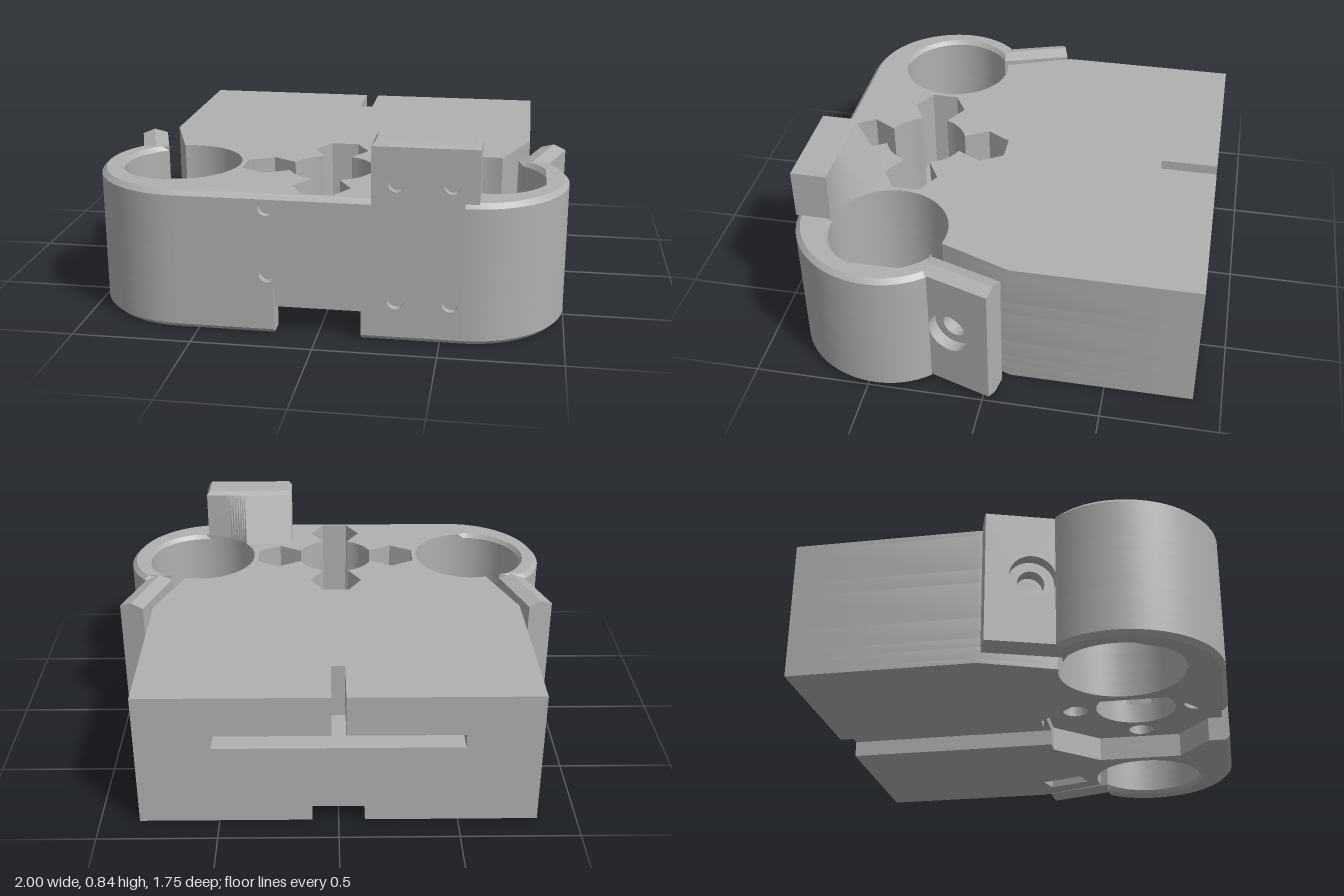
import * as THREE from 'three';
import { mergeGeometries, toCreasedNormals } from 'three/addons/utils/BufferGeometryUtils.js';

const BORE = { x: 0.655, z: 0.465, r: 0.255 };
const CZ = 0.465;      // z of the central hole
const FRONT = 0.875, INNER = 0.845, CH = 0.02;

const arc = (cx, cz, r, a0, a1, n) => Array.from({ length: n + 1 }, (_, i) => {
  const a = THREE.MathUtils.degToRad(a0 + (a1 - a0) * i / n);
  return [cx + r * Math.cos(a), cz + r * Math.sin(a)];
});
const flip = pts => pts.map(([x, z]) => [-x, z]);
const toPath = (pts, Type = THREE.Shape) => new Type(pts.map(p => new THREE.Vector2(...p)));

// Slab with a plan outline (x, z), between heights y0 and y1
function slab(pts, holes, y0, y1, moveVertex) {
  const shape = toPath(pts);
  shape.holes = holes.map(h => toPath(h, THREE.Path));
  const g = new THREE.ExtrudeGeometry(shape, { depth: y1 - y0, bevelEnabled: false, steps: 1 });
  g.rotateX(Math.PI / 2).translate(0, y1, 0);
  if (moveVertex) applyRule(g, moveVertex);
  return toCreasedNormals(g, 0.5);
}

function applyRule(g, rule) {
  const p = g.attributes.position, v = new THREE.Vector3();
  for (let i = 0; i < p.count; i++) {
    rule(v.fromBufferAttribute(p, i));
    p.setXYZ(i, v.x, v.y, v.z);
  }
}

// Outline of the +x half: block side, open bore, clamp ring, rounded front corner
function halfOutline(front) {
  const pts = [
    [0.835, -0.88], [0.835, -0.09], [0.72, 0.215],
    ...arc(BORE.x, BORE.z, BORE.r, -76, -419, 56),
    ...arc(BORE.x, CZ, 0.345, -41, 0, 8),
    ...arc(0.59, CZ, 0.41, 0, 90, 20).slice(1),
  ];
  if (front < FRONT) pts.push([0.59, front]);
  return pts;
}

// Both halves joined, with an optional slot in the back edge
function fullOutline(front, slot) {
  const half = [...(slot ? [[slot, -0.63], [slot, -0.88]] : []), ...halfOutline(front)];
  return [...half, ...flip(half).reverse()];
}

// One half of the underside, cut by the groove, recess and front notch
const underHalf = (front, groove) => [
  [groove, -0.88], ...halfOutline(front),
  [0.18, front], [0.18, 0.78], [0.36, 0.64], [0.36, 0.26], [0.18, 0.06], [groove, 0.06],
];

// Slanted nut slot next to each clamp arm
const nutSlot = [[-0.1, -0.045], [0.1, -0.045], [0.1, 0.045], [-0.1, 0.045]]
  .map(([u, n]) => [0.65 + 0.31 * u + 0.95 * n, 0.05 - 0.95 * u + 0.31 * n]);

// Central hole joined with four hexagonal pockets
function crossOutline() {
  const pts = [];
  for (let k = 0; k < 4; k++) {
    const a = k * Math.PI / 2, c = Math.cos(a), s = Math.sin(a);
    [[0.171, -0.06], [0.275, -0.12], [0.379, -0.06], [0.379, 0.06], [0.275, 0.12], [0.171, 0.06]]
      .forEach(([u, v]) => pts.push([u * c - v * s, CZ + u * s + v * c]));
    pts.push(...arc(0, CZ, 0.18, 22 + k * 90, 68 + k * 90, 8));
  }
  return pts;
}

// Pulls the rim of the clamps and front edge in, on one level only
const chamferAt = level => v => {
  if (Math.abs(v.y - level) > 1e-4 || v.z < 0.2) return;
  const s = Math.sign(v.x), ax = Math.abs(v.x);
  const pull = (cx, r, to) => {
    const d = Math.hypot(ax - cx, v.z - CZ);
    if (Math.abs(d - r) > 1e-3) return false;
    v.x = s * (cx + (ax - cx) * to / r);
    v.z = CZ + (v.z - CZ) * to / r;
    return true;
  };
  if (ax > 0.6 && v.z >= CZ - 1e-4 && pull(0.59, 0.41, 0.41 - CH)) return;
  if (v.z < CZ && ax > 0.85 && pull(BORE.x, 0.345, 0.345 - CH)) return;
  if (ax > BORE.x && v.z > 0.25 && pull(BORE.x, BORE.r, BORE.r + 0.015)) return;
  if (v.z > FRONT - 1e-3) v.z -= CH;
};

function bodyGeometry() {
  const nuts = [nutSlot, flip(nutSlot)];
  const cross = crossOutline();
  const screws = [0, 90, 180, 270].map(a => {
    const t = THREE.MathUtils.degToRad(a);
    return arc(0.275 * Math.cos(t), CZ + 0.275 * Math.sin(t), 0.057, 0, 345, 23);
  });
  const centre = arc(0, CZ, 0.18, 0, 352.5, 47);
  const parts = [];
  // Underside layers
  for (const [y0, y1, front, groove] of [[0, 0.02, FRONT, 0.11], [0.02, 0.07, INNER, 0.11], [0.07, 0.11, INNER, 0]]) {
    const pts = underHalf(front, groove);
    const rule = y0 === 0 ? chamferAt(0) : null;
    parts.push(slab(pts, [nuts[0]], y0, y1, rule), slab(flip(pts), [nuts[1]], y0, y1, rule));
  }
  // Floor with screw holes, then the pocket layers and the back slots
  parts.push(
    slab(fullOutline(INNER, 0), [centre, ...screws, ...nuts], 0.11, 0.2),
    slab(fullOutline(INNER, 0), [cross, ...nuts], 0.2, 0.36),
    slab(fullOutline(INNER, 0.52), [cross], 0.36, 0.42),
    slab(fullOutline(INNER, 0.03), [cross], 0.42, 0.58),
    slab(fullOutline(FRONT, 0.03), [cross], 0.58, 0.6, chamferAt(0.6)),
  );
  return mergeGeometries(parts);
}

// Front wall with notch, tower face and small screw holes
function frontGeometry() {
  const shape = toPath([
    [-0.59, 0.02], [-0.18, 0.02], [-0.18, 0.2], [0.18, 0.2], [0.18, 0.02], [0.59, 0.02],
    [0.59, 0.6], [0.645, 0.6], [0.645, 0.82], [0.22, 0.82], [0.22, 0.58], [-0.59, 0.58],
  ]);
  shape.holes = [[-0.205, 0.545], [-0.205, 0.26], [0.32, 0.67], [0.54, 0.67], [0.32, 0.175], [0.54, 0.175]]
    .map(([x, y]) => toPath(arc(x, y, 0.034, 0, 345, 23), THREE.Path));
  const g = new THREE.ExtrudeGeometry(shape, { depth: FRONT - INNER, bevelEnabled: false });
  return toCreasedNormals(g.translate(0, 0, INNER), 0.5);
}

// Tower with a leaning back that follows the bore at its foot
function towerGeometry() {
  const plan = [[0.22, INNER], [0.645, INNER], ...arc(BORE.x, BORE.z, BORE.r, 92, 145, 14), [0.22, 0.611]];
  const lean = v => { if (v.y > 0.8) v.z = Math.max(v.z, 0.72); };
  const cap = new THREE.BoxGeometry(0.425, CH, 0.155);
  applyRule(cap, v => {
    if (v.y > 0) { v.x -= Math.sign(v.x) * 0.015; v.z -= Math.sign(v.z) * 0.012; }
  });
  cap.translate(0.4325, 0.83, 0.7975);
  return mergeGeometries([slab(plan, [], 0.6, 0.82, lean), toCreasedNormals(cap, 0.3)]);
}

// Clamp arm: upright slab with a stepped bolt hole, s = +1 or -1 for the side
function armGeometry(s) {
  const T = 0.115, L = 0.325, layers = [];
  for (const [n0, n1, r] of [[0, 0.06, 0.055], [0.06, T, 0.095]]) {
    const shape = toPath([[0, 0], [s * L, 0], [s * L, 0.6], [0, 0.6]]);
    shape.holes = [toPath(arc(s * 0.136, 0.305, r, 0, 350, 35), THREE.Path)];
    const g = new THREE.ExtrudeGeometry(shape, { depth: n1 - n0, bevelEnabled: false });
    g.translate(0, 0, n0);
    applyRule(g, v => {
      if (v.z < 1e-4 || v.z > T - 1e-4) v.y = THREE.MathUtils.clamp(v.y, CH, 0.6 - CH);
    });
    layers.push(toCreasedNormals(g, 0.5));
  }
  const m = new THREE.Matrix4().makeBasis(
    new THREE.Vector3(0.31, 0, -0.95 * s).normalize(),
    new THREE.Vector3(0, 1, 0),
    new THREE.Vector3(0.95 * s, 0, 0.31).normalize(),
  ).setPosition(s * 0.785, 0, 0.245);
  return mergeGeometries(layers).applyMatrix4(m);
}

export function createModel() {
  const grey = new THREE.MeshStandardMaterial({ color: 0xb0b0b0 });
  grey.name = 'grey plastic';
  const model = new THREE.Group();
  model.name = 'clampCarriage';
  const add = (name, geometry) => {
    const mesh = new THREE.Mesh(geometry, grey);
    mesh.name = name;
    model.add(mesh);
  };
  add('body', bodyGeometry());
  add('frontWall', frontGeometry());
  add('tower', towerGeometry());
  add('leftClampArm', armGeometry(1));
  add('rightClampArm', armGeometry(-1));
  return model;
}
